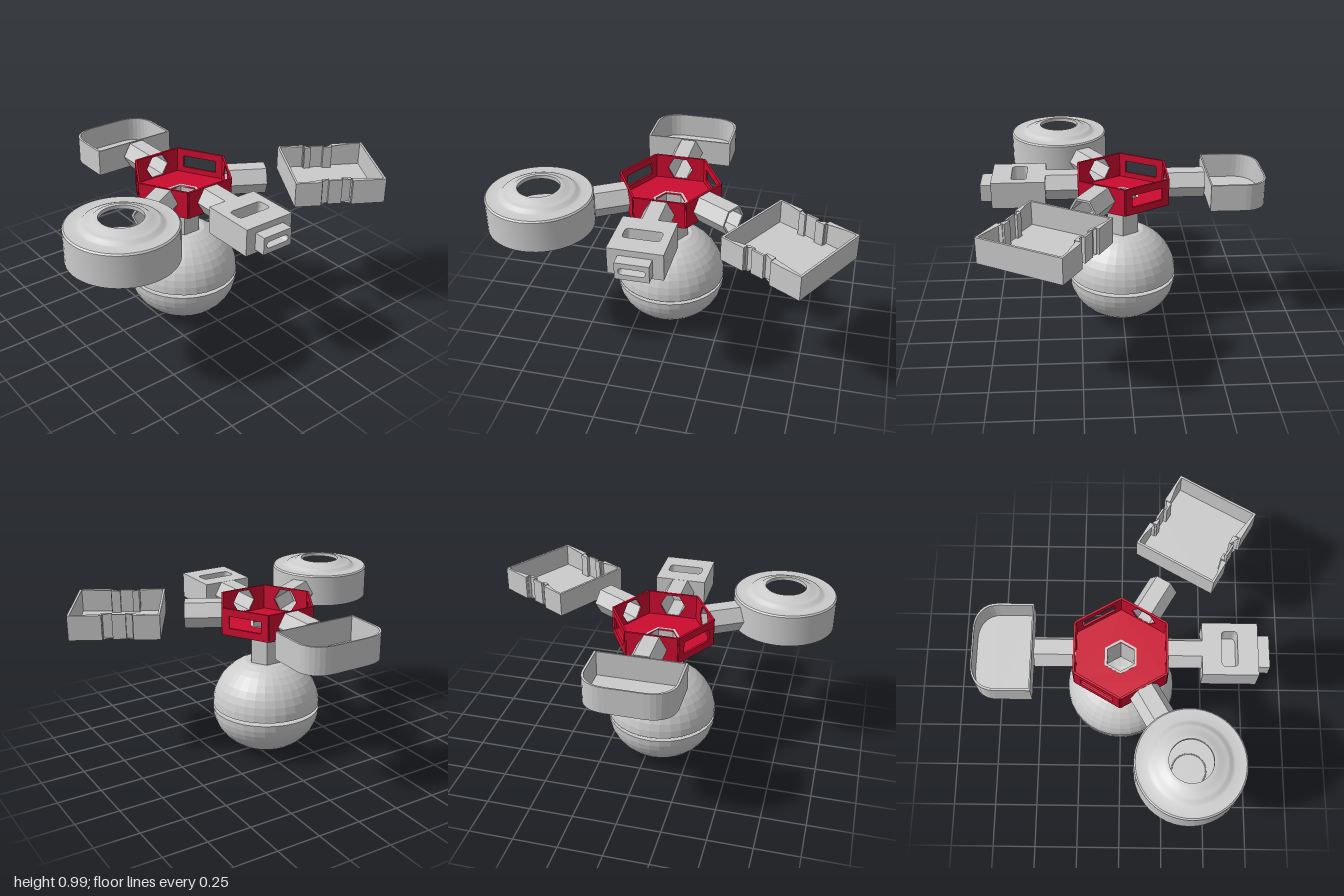
import * as THREE from 'three';
import { toCreasedNormals } from 'three/addons/utils/BufferGeometryUtils.js';

const HUB_Z = 0.07, MID_Y = 0.837;
const grey = new THREE.MeshStandardMaterial({ color: 0xcccccc, flatShading: true, side: THREE.DoubleSide });
const smooth = new THREE.MeshStandardMaterial({ color: 0xcccccc });
const red = new THREE.MeshStandardMaterial({ color: 0xcc0c2f, flatShading: true, side: THREE.DoubleSide });

function add(parent, name, geometry, material = grey) {
  const mesh = new THREE.Mesh(geometry, material);
  mesh.name = name;
  parent.add(mesh);
  return mesh;
}

const v2 = (pairs) => pairs.map(([x, y]) => new THREE.Vector2(x, y));

// Corner points of a regular hexagon
const hexPoints = (r, start = 0) => Array.from({ length: 6 }, (_, i) => {
  const a = start + i * Math.PI / 3;
  return new THREE.Vector2(r * Math.cos(a), r * Math.sin(a));
});

const rectPoints = (w, h, cx = 0, cy = 0) => v2([
  [cx - w / 2, cy - h / 2], [cx + w / 2, cy - h / 2], [cx + w / 2, cy + h / 2], [cx - w / 2, cy + h / 2]]);

// Rectangle with rounded ends, long side along y
function slotPoints(w, h, r, cx = 0, cy = 0) {
  const pts = [];
  for (let q = 0; q < 4; q++) {
    const sx = q === 0 || q === 3 ? 1 : -1, sy = q < 2 ? 1 : -1;
    for (let i = 0; i <= 4; i++) {
      const a = (q + i / 4) * Math.PI / 2;
      pts.push(new THREE.Vector2(cx + sx * (w / 2 - r) + r * Math.cos(a), cy + sy * (h / 2 - r) + r * Math.sin(a)));
    }
  }
  return pts;
}

function extrude(outline, hole, depth) {
  const shape = new THREE.Shape(outline);
  if (hole) shape.holes.push(new THREE.Path(hole));
  return new THREE.ExtrudeGeometry(shape, { depth, bevelEnabled: false });
}

// Extrusions running outward along x, or upward along y
const alongX = (outline, hole, x0, x1) =>
  extrude(outline, hole, x1 - x0).rotateY(Math.PI / 2).translate(x0, 0, 0);
const alongY = (outline, hole, y0, y1) =>
  extrude(outline, hole, y1 - y0).rotateX(-Math.PI / 2).translate(0, y0, 0);

// Open tray: a thin wall around a floor
function tray(parent, name, outline, y0, y1) {
  const centre = new THREE.Box2().setFromPoints(outline).getCenter(new THREE.Vector2());
  const inner = outline.map((p) => p.clone().sub(centre).multiplyScalar(0.95).add(centre));
  add(parent, name + 'Wall', alongY(outline, inner, y0, y1));
  add(parent, name + 'Floor', alongY(outline, null, y0, y0 + 0.01));
}

// Group whose local +x points outward from the hub
function radial(parent, name, degrees) {
  const group = new THREE.Group();
  group.name = name;
  group.rotation.y = THREE.MathUtils.degToRad(degrees);
  parent.add(group);
  return group;
}

function buildHub(model) {
  const hub = new THREE.Group();
  hub.name = 'hub';
  model.add(hub);
  add(hub, 'hubFloor', alongY(hexPoints(0.292, Math.PI / 6).map((p) => p.rotateAround(new THREE.Vector2(), 0)),
    hexPoints(0.085, Math.PI / 6), 0.76, 0.77), red);
  for (let i = 0; i < 6; i++) {
    const side = radial(hub, 'hubSide', i * 60);
    const isWindow = i === 2 || i === 4;
    const hole = isWindow ? rectPoints(0.2, 0.07) : hexPoints(0.074);
    add(side, 'hubWall', alongX(rectPoints(0.285, 0.155), hole, 0.243, 0.255), red).position.y = MID_Y;
    if (!isWindow) {
      add(side, 'armTube', alongX(hexPoints(0.086), hexPoints(0.072), 0.25, 0.465)).position.y = MID_Y;
    }
  }
}

function buildRoundedTray(model) {
  const group = radial(model, 'roundedTray', 180);
  const shape = new THREE.Shape();
  shape.moveTo(0.475, -0.25);
  shape.lineTo(0.67, -0.25);
  shape.bezierCurveTo(0.75, -0.25, 0.8, -0.19, 0.8, -0.1);
  shape.lineTo(0.8, 0.1);
  shape.bezierCurveTo(0.8, 0.19, 0.75, 0.25, 0.67, 0.25);
  shape.lineTo(0.475, 0.25);
  tray(group, 'roundedTray', shape.getPoints(8), 0.76, 0.912);
}

function buildNotchedTray(model) {
  const group = radial(model, 'notchedTray', 60);
  // One long side with two grip notches, mirrored for the other
  const side = [[0.588, 0.245], [0.735, 0.245], [0.735, 0.215], [0.775, 0.215], [0.775, 0.23],
    [0.85, 0.23], [0.85, 0.21], [0.905, 0.21], [0.905, 0.245], [1.09, 0.245]];
  const lower = side.map(([x, y]) => [x, -y]);
  tray(group, 'notchedTray', v2([...lower, ...side.reverse()]), 0.768, 0.91);
}

function buildConnector(model) {
  const group = radial(model, 'connector', 0);
  // Hollow-looking body with a slot in its top
  const body = rectPoints(0.3, 0.295, 0.585, 0);
  add(group, 'connectorBody', alongY(body, null, 0.76, 0.8));
  add(group, 'connectorShell', alongY(body, slotPoints(0.085, 0.2, 0.02, 0.583, 0), 0.8, 0.912));
  // Plug with a recessed slot
  const plug = rectPoints(0.18, 0.096);
  const slot = slotPoints(0.14, 0.036, 0.017);
  add(group, 'plugShell', alongX(plug, slot, 0.73, 0.8)).position.y = 0.828;
}

function buildDrum(model) {
  const group = radial(model, 'drum', -60);
  const profile = v2([[0, 0.76], [0.292, 0.76], [0.292, 0.938], [0.284, 0.946], [0.225, 0.944], [0.212, 0.948],
    [0.2, 0.96], [0.185, 0.966], [0.16, 0.968], [0.14, 0.984], [0.115, 0.986], [0.115, 0.965]]);
  const shell = add(group, 'drumShell', toCreasedNormals(new THREE.LatheGeometry(profile, 48), 0.6), smooth);
  const floor = add(group, 'drumFloor', new THREE.CircleGeometry(0.29, 48).rotateX(-Math.PI / 2), smooth);
  floor.position.y = 0.765;
  const rim = add(group, 'drumRing', new THREE.TorusGeometry(0.09, 0.003, 6, 32).rotateX(Math.PI / 2), smooth);
  rim.position.y = 0.766;
  for (const mesh of [shell, floor, rim]) mesh.position.x = 0.73;
}

function buildBall(model) {
  // Half shell as an arc from the equator to the truncated pole
  const arc = (y, height) => Array.from({ length: 9 }, (_, i) => {
    const t = (i / 8) * 1.17;
    return new THREE.Vector2(0.314 * Math.cos(t), y + height * Math.sin(t));
  });
  const upper = [new THREE.Vector2(0.215, 0.283), ...arc(0.283, 0.29), new THREE.Vector2(0.085, 0.55)];
  add(model, 'ballUpperHalf', new THREE.LatheGeometry(upper, 32));
  const lower = [...v2([[0.07, 0.09]]), ...arc(0.262, -0.263).reverse(), new THREE.Vector2(0.215, 0.262)];
  add(model, 'ballLowerHalf', new THREE.LatheGeometry(lower, 32));
  add(model, 'ballCore', new THREE.CylinderGeometry(0.215, 0.215, 0.03, 32, 1, true)).position.y = 0.273;
  // Tapered nozzle in the bottom recess
  const nozzle = v2([[0.075, 0.09], [0.058, 0.09], [0.033, 0], [0.02, 0], [0.02, 0.03], [0, 0.03]]);
  add(model, 'nozzle', new THREE.LatheGeometry(nozzle, 24));
  add(model, 'nozzleTop', new THREE.CylinderGeometry(0.06, 0.06, 0.02, 24)).position.y = 0.1;
  // Hexagonal stem up to the hub
  add(model, 'stem', alongY(hexPoints(0.101, Math.PI / 6), hexPoints(0.085, Math.PI / 6), 0.54, 0.772));
}

export function createModel() {
  const model = new THREE.Group();
  model.name = 'hubWithAttachments';
  const assembly = new THREE.Group();
  assembly.name = 'assembly';
  assembly.position.z = HUB_Z;
  model.add(assembly);
  buildHub(assembly);
  buildRoundedTray(assembly);
  buildNotchedTray(assembly);
  buildConnector(assembly);
  buildDrum(assembly);
  buildBall(assembly);
  return model;
}
